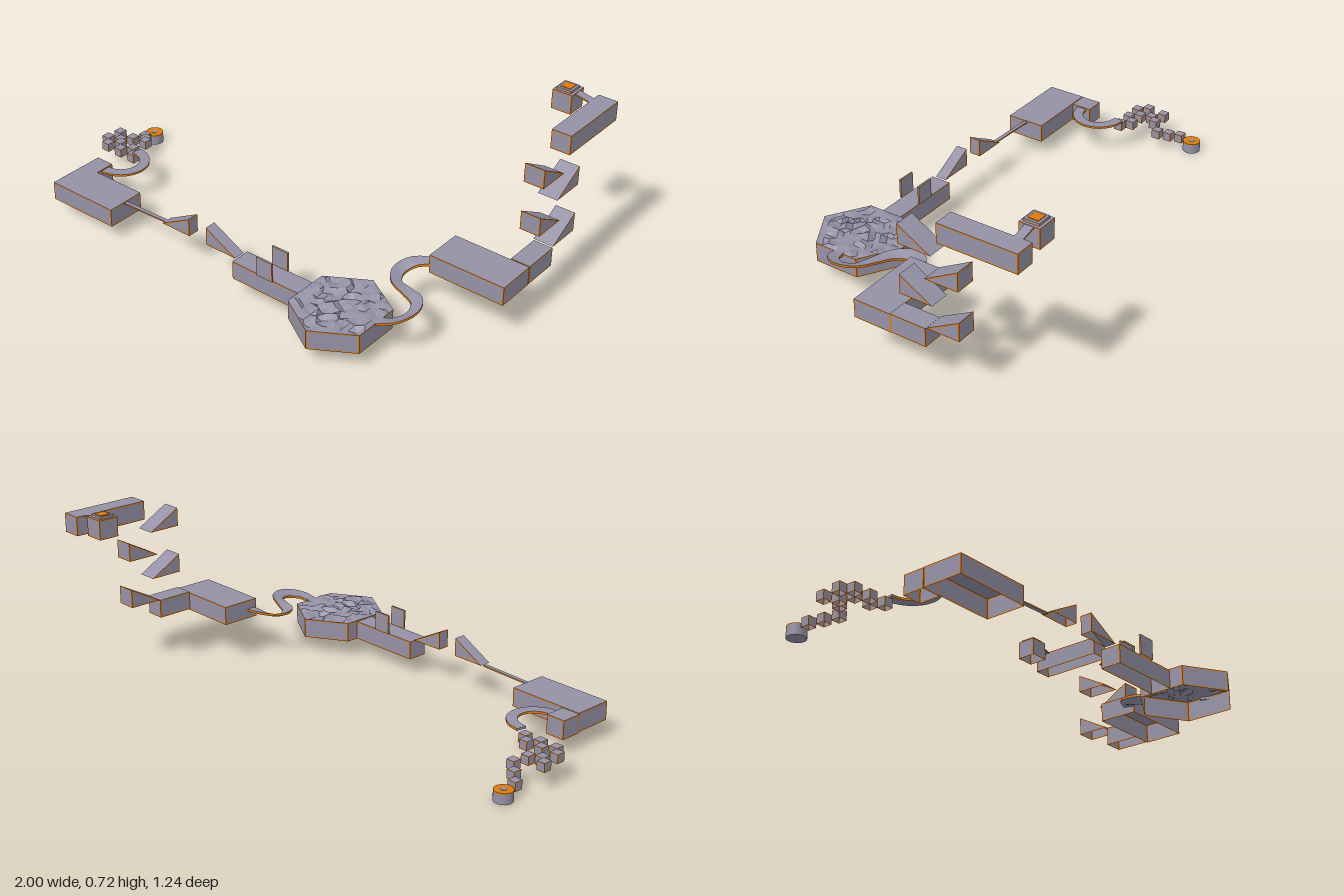
import * as THREE from 'three';

const V = (x, y, z) => new THREE.Vector3(x, y, z);

export function createModel() {
  const model = new THREE.Group();
  const stone = new THREE.MeshStandardMaterial({ color: 0x9591a6, side: THREE.DoubleSide });
  stone.name = 'greyStone';
  const trim = new THREE.MeshStandardMaterial({ color: 0xdc7a10, side: THREE.DoubleSide });
  trim.name = 'orangeTrim';

  // Collects flat polygons in two colours and turns them into a named group
  function part(name, build) {
    const grey = [], orange = [];
    const fan = (list, p) => {
      for (let i = 1; i < p.length - 1; i++) list.push(p[0], p[i], p[i + 1]);
    };
    // Convex panel with an orange border of width w
    const framed = (p, w) => {
      const n = p.length;
      const inner = p.map((c, i) => {
        const a = p[(i + n - 1) % n].clone().sub(c).normalize();
        const b = p[(i + 1) % n].clone().sub(c).normalize();
        const s = Math.max(a.clone().cross(b).length(), 0.2);
        return c.clone().addScaledVector(a.add(b), w / s);
      });
      fan(grey, inner);
      p.forEach((c, i) => {
        const j = (i + 1) % n;
        fan(orange, [c, p[j], inner[j], inner[i]]);
      });
    };
    build({ grey: p => fan(grey, p), orange: p => fan(orange, p), framed });
    const group = new THREE.Group();
    group.name = name;
    [[grey, stone, 'Body'], [orange, trim, 'Trim']].forEach(([pts, mat, suffix]) => {
      if (!pts.length) return;
      const g = new THREE.BufferGeometry().setFromPoints(pts);
      g.computeVertexNormals();
      const mesh = new THREE.Mesh(g, mat);
      mesh.name = name + suffix;
      group.add(mesh);
    });
    model.add(group);
  }

  // Hollow block, open below: footprint corners [x, z] and a top height per corner
  function shell(name, foot, y0, tops, capped = true, w = 0.005) {
    part(name, f => {
      const n = foot.length;
      const low = foot.map(([x, z]) => V(x, y0, z));
      const high = foot.map(([x, z], i) => V(x, tops[i], z));
      for (let i = 0; i < n; i++) {
        const j = (i + 1) % n;
        const wall = [low[i], low[j]];
        if (tops[j] > y0) wall.push(high[j]);
        if (tops[i] > y0) wall.push(high[i]);
        if (wall.length > 2) f.framed(wall, w);
      }
      if (capped) f.grey(high);
    });
  }
  const rect = (x0, x1, z0, z1) => [[x0, z1], [x1, z1], [x1, z0], [x0, z0]];
  const box = (name, x0, x1, y0, y1, z0, z1, w) =>
    shell(name, rect(x0, x1, z0, z1), y0, [y1, y1, y1, y1], true, w);

  // Thin path swept along points; bank raises the model-left or right edge
  function ribbon(name, points, width, thick, steps, bank = () => 0) {
    const curve = new THREE.CatmullRomCurve3(points.map(p => V(...p)));
    part(name, f => {
      let last = null;
      for (let i = 0; i <= steps; i++) {
        const t = i / steps, c = curve.getPointAt(t), d = curve.getTangentAt(t);
        const side = V(-d.z, 0, d.x).normalize().multiplyScalar(width / 2);
        side.y = bank(t);
        const a = c.clone().sub(side), b = c.clone().add(side);
        const down = V(0, -thick, 0);
        const ring = [a, b, b.clone().add(down), a.clone().add(down)];
        if (last) {
          for (let k = 0; k < 4; k++) {
            const m = (k + 1) % 4;
            (k % 2 ? f.orange : f.grey)([last[k], last[m], ring[m], ring[k]]);
          }
        }
        if (i === 0) f.grey([...ring].reverse());
        if (i === steps) f.grey(ring);
        last = ring;
      }
    });
  }

  // Starting pad: drum with an orange lid and a small centre spot
  const drum = new THREE.Mesh(new THREE.CylinderGeometry(0.037, 0.037, 0.04, 20), stone);
  drum.name = 'startDrum';
  drum.position.set(-0.947, 0.02, -0.165);
  const lid = new THREE.Mesh(new THREE.CylinderGeometry(0.037, 0.037, 0.004, 20), trim);
  lid.name = 'startLid';
  lid.position.set(-0.947, 0.042, -0.165);
  const spot = new THREE.Mesh(new THREE.CylinderGeometry(0.012, 0.012, 0.002, 12), stone);
  spot.name = 'startSpot';
  spot.position.set(-0.947, 0.0445, -0.165);
  model.add(drum, lid, spot);

  // Stepping cubes [x, y centre, z]
  [
    [-0.947, 0.042, -0.107], [-0.91, 0.057, -0.072], [-0.875, 0.073, -0.036],
    [-0.91, 0.093, 0], [-0.984, 0.093, 0], [-0.947, 0.088, 0.036],
    [-0.982, 0.102, 0.072], [-0.91, 0.102, 0.072], [-0.838, 0.102, 0.072],
    [-0.947, 0.102, 0.108], [-0.875, 0.102, 0.108], [-0.802, 0.102, 0.108],
  ].forEach(([x, y, z], i) => {
    const h = 0.018;
    box('steppingCube' + (i + 1), x - h, x + h, y - h, y + h, z - h, z + h, 0.003);
  });

  // Flat half-ring path to the first platform
  const arc = [];
  for (let i = 0; i <= 8; i++) {
    const a = -Math.PI / 2 + (Math.PI * i) / 8;
    arc.push([-0.785 + 0.103 * Math.cos(a), 0.137, 0.198 + 0.093 * Math.sin(a)]);
  }
  ribbon('curvedPath', arc, 0.042, 0.009, 16);
  box('cornerBlock', -0.86, -0.78, 0.065, 0.142, 0.25, 0.338);
  box('firstPlatform', -0.857, -0.537, 0.068, 0.145, 0.337, 0.5);

  // Narrow beam and the jump ramps
  ribbon('narrowBeam', [[-0.537, 0.142, 0.418], [-0.315, 0.148, 0.418]], 0.016, 0.006, 1);
  shell('takeoffRamp', rect(-0.315, -0.175, 0.395, 0.443), 0.15, [0.15, 0.225, 0.225, 0.15]);
  shell('landingRamp', rect(-0.088, 0.055, 0.395, 0.443), 0.15, [0.225, 0.15, 0.15, 0.225]);

  // Bridge with a plate standing on either side
  box('bridge', 0.057, 0.373, 0.07, 0.146, 0.375, 0.46);
  [0.37, 0.46].forEach((z, i) =>
    box('sidePlate' + (i + 1), 0.18, 0.255, 0.146, 0.226, z, z + 0.008, 0.003));

  // Six-sided arena with a rough floor
  const cx = 0.534, cz = 0.421, R = 0.194;
  const corner = k => {
    const a = Math.PI / 2 - (k * Math.PI) / 3;
    return [cx + 0.162 * (Math.cos(a) / 0.866), cz + R * Math.sin(a)];
  };
  shell('arenaWalls', [0, 1, 2, 3, 4, 5].map(corner), 0.07, Array(6).fill(0.15), false);
  part('arenaFloor', f => {
    const n = 7;
    const hash = (x, z) => {
      const s = Math.sin(x * 1271.7 + z * 3117.3) * 43758.5;
      return s - Math.floor(s);
    };
    for (let k = 0; k < 6; k++) {
      const p = corner(k), q = corner(k + 1);
      const at = (i, j) => {
        const x = cx + ((p[0] - cx) * i + (q[0] - cx) * j) / n;
        const z = cz + ((p[1] - cz) * i + (q[1] - cz) * j) / n;
        if (i + j === n) return V(x, 0.15, z);
        const r = hash(Math.round(x * 1e4) / 1e4, Math.round(z * 1e4) / 1e4);
        const jitter = i > 0 && j > 0 ? 0.02 : 0;
        return V(x + (r - 0.5) * jitter, 0.139 + 0.023 * r, z + (0.5 - r) * jitter);
      };
      for (let i = 0; i < n; i++) {
        for (let j = 0; i + j < n; j++) {
          f.grey([at(i, j), at(i + 1, j), at(i, j + 1)]);
          if (i + j < n - 1) f.grey([at(i + 1, j), at(i + 1, j + 1), at(i, j + 1)]);
        }
      }
    }
  });

  // Banked winding path up to the second platform
  ribbon('windingPath', [
    [0.69, 0.15, 0.41], [0.745, 0.165, 0.39], [0.778, 0.178, 0.33], [0.755, 0.183, 0.265],
    [0.69, 0.18, 0.235], [0.62, 0.177, 0.205], [0.588, 0.18, 0.145], [0.61, 0.192, 0.085],
    [0.68, 0.207, 0.05],
  ], 0.043, 0.01, 28, t => 0.009 * Math.sin(t * Math.PI * 2));
  box('secondPlatform', 0.673, 0.993, 0.166, 0.243, -0.085, 0.078);
  box('connectingBlock', 0.915, 0.995, 0.17, 0.247, -0.237, -0.085);

  // Zigzag of four wedges rising to the top platform
  for (let i = 0; i < 4; i++) {
    const y = 0.25 + i * 0.1, t = y + 0.077;
    if (i % 2) shell('wedge' + (i + 1), rect(0.912, 0.994, -0.27, -0.133), y, [t, t, y, y]);
    else shell('wedge' + (i + 1), rect(0.912, 0.994, -0.38, -0.24), y, [y, y, t, t]);
  }
  box('topPlatform', 0.913, 0.994, 0.612, 0.69, -0.62, -0.297);

  // Finish block with its link and orange button
  ribbon('finishLink', [[0.855, 0.703, -0.567], [0.914, 0.69, -0.567]], 0.035, 0.006, 1);
  box('finishBlock', 0.772, 0.855, 0.626, 0.705, -0.609, -0.525);
  box('finishTier', 0.782, 0.844, 0.705, 0.715, -0.598, -0.536, 0.002);
  const button = new THREE.Mesh(new THREE.BoxGeometry(0.042, 0.003, 0.042), trim);
  button.name = 'finishButton';
  button.position.set(0.813, 0.7165, -0.567);
  model.add(button);

  return model;
}
